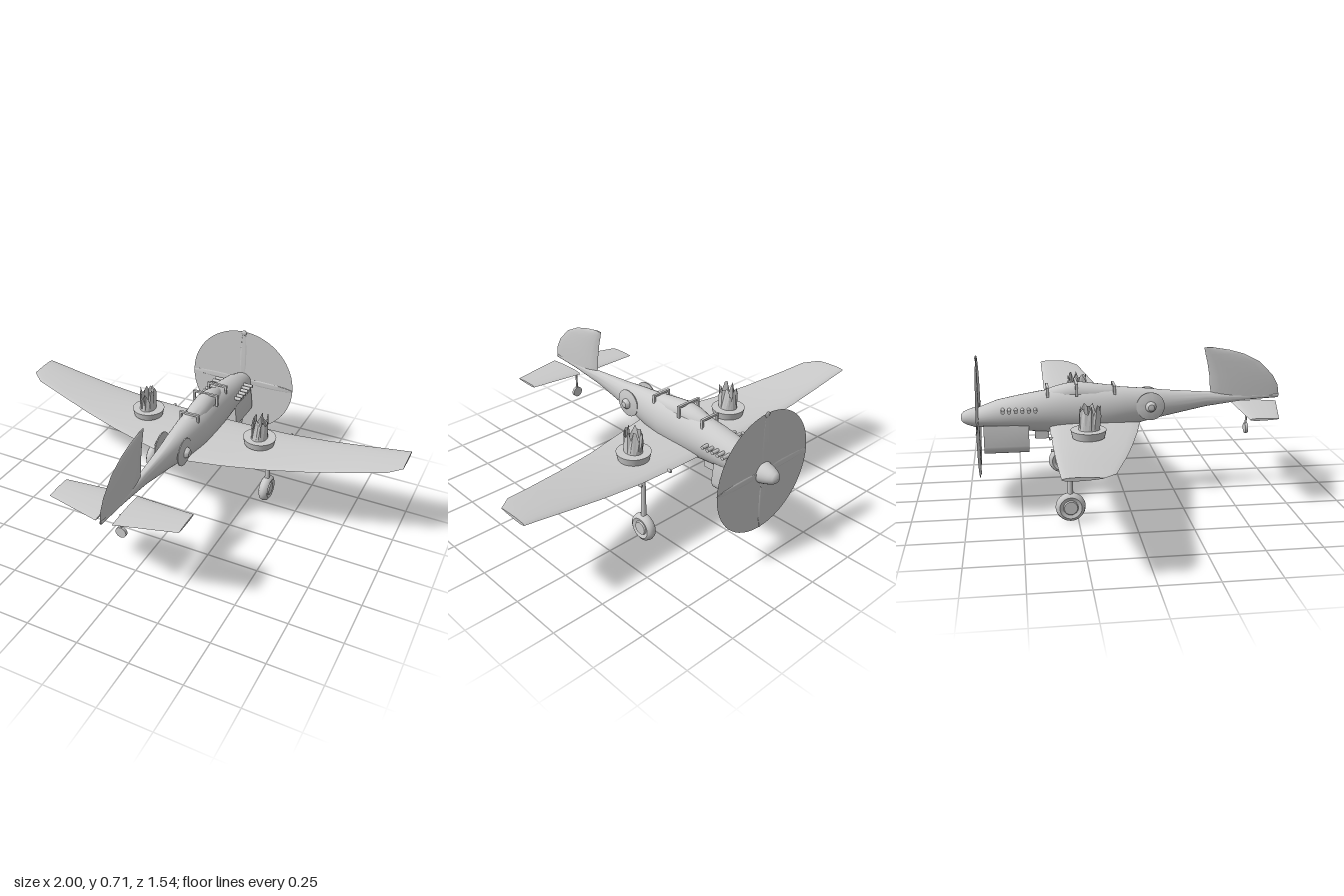
import * as THREE from 'three';
import { toCreasedNormals } from 'three/addons/utils/BufferGeometryUtils.js';

const mat = new THREE.MeshStandardMaterial({ color: 0xcccccc });
const thin = new THREE.MeshStandardMaterial({ color: 0xcccccc, side: THREE.DoubleSide });

// Skin a row of equal-length closed rings, with capped ends, facing outwards
function loft(rings, crease = 0.7) {
  const n = rings[0].length, pts = rings.flat(), idx = [];
  for (let r = 0; r < rings.length - 1; r++)
    for (let i = 0; i < n; i++) {
      const a = r * n + i, b = r * n + (i + 1) % n;
      idx.push(a, b, a + n, b, b + n, a + n);
    }
  const last = (rings.length - 1) * n;
  for (let i = 1; i < n - 1; i++) idx.push(0, i + 1, i, last, last + i, last + i + 1);
  const v = pts.map(p => new THREE.Vector3(...p));
  let volume = 0;
  for (let i = 0; i < idx.length; i += 3)
    volume += v[idx[i]].dot(v[idx[i + 1]].clone().cross(v[idx[i + 2]]));
  if (volume < 0) idx.reverse();
  const g = new THREE.BufferGeometry().setFromPoints(v);
  g.setIndex(idx);
  return toCreasedNormals(g, crease);
}

// Aerofoil ring: [chord position, thickness offset] from leading edge a to trailing edge b
function foil(a, b, t, n = 16) {
  return Array.from({ length: n }, (_, i) => {
    const u = i / n * Math.PI * 2, s = (1 - Math.cos(u)) / 2;
    return [a + (b - a) * s, t * Math.sin(u) * (1.2 - 0.7 * s)];
  });
}

// Oval ring across the fuselage
function oval(z, top, bottom, w, n = 32) {
  return Array.from({ length: n }, (_, i) => {
    const u = i / n * Math.PI * 2;
    return [Math.cos(u) * w, (top + bottom) / 2 + Math.sin(u) * (top - bottom) / 2, z];
  });
}

export function createModel() {
  const model = new THREE.Group();
  const add = (name, geo, pos = [0, 0, 0], rot = [0, 0, 0], parent = model, m = mat) => {
    const mesh = new THREE.Mesh(geo, m);
    mesh.name = name;
    mesh.position.set(...pos);
    mesh.rotation.set(...rot);
    parent.add(mesh);
    return mesh;
  };
  const Q = Math.PI / 2;

  // Fuselage: z, top, bottom, half width
  const body = [
    [-0.69, 0.457, 0.365, 0.05], [-0.6, 0.49, 0.35, 0.066], [-0.5, 0.51, 0.34, 0.075],
    [-0.4, 0.527, 0.332, 0.079], [-0.3, 0.54, 0.322, 0.082], [-0.2, 0.543, 0.317, 0.082],
    [-0.1, 0.54, 0.322, 0.08], [0, 0.534, 0.34, 0.068], [0.1, 0.525, 0.363, 0.056],
    [0.2, 0.513, 0.385, 0.043], [0.4, 0.497, 0.425, 0.022], [0.6, 0.48, 0.45, 0.013], [0.76, 0.475, 0.457, 0.005]];
  add('fuselage', loft(body.map(b => oval(...b))));

  // Spinner
  const cone = [[0.05, 0], [0.046, 0.02], [0.036, 0.05], [0.026, 0.07], [0.015, 0.079], [0, 0.081]];
  add('spinner', new THREE.LatheGeometry(cone.map(p => new THREE.Vector2(...p)), 24), [0, 0.411, -0.69], [-Q, 0, 0]);

  // Canopy and its frames
  const glass = [[-0.38, 0.528, 0.02], [-0.34, 0.545, 0.04], [-0.28, 0.56, 0.05], [-0.22, 0.567, 0.052],
    [-0.14, 0.556, 0.05], [-0.06, 0.545, 0.042], [0.01, 0.53, 0.02]];
  add('canopy', loft(glass.map(([z, t, w]) => oval(z, t, 0.46, w, 24))));
  for (const [z, top, w] of [[-0.365, 0.552, 0.052], [-0.23, 0.57, 0.066], [-0.05, 0.552, 0.05]]) {
    const frame = new THREE.Group();
    frame.name = 'canopyFrame';
    model.add(frame);
    add('frameBow', new THREE.BoxGeometry(w * 2, 0.01, 0.012), [0, top - 0.005, z], [0, 0, 0], frame);
    for (const s of [-1, 1])
      add('framePost', new THREE.BoxGeometry(0.01, 0.06, 0.012), [s * (w - 0.005), top - 0.03, z], [0, 0, 0], frame);
  }

  // Wing: x, height, trailing edge, half thickness
  const half = [[0, 0.363, 0.08, 0.021], [0.2, 0.364, 0.036, 0.02], [0.4, 0.37, -0.015, 0.018],
    [0.6, 0.389, -0.065, 0.015], [0.8, 0.417, -0.117, 0.012], [0.935, 0.438, -0.15, 0.01], [1, 0.447, -0.203, 0.008]];
  const span = [...half.slice(1).reverse().map(([x, ...r]) => [-x, ...r]), ...half];
  add('wing', loft(span.map(([x, y, b, t]) => foil(-0.36, b, t, 20).map(([z, d]) => [x, y + d, z]))));

  // Tail fin: height, leading edge, trailing edge, half thickness
  const fin = [[0.465, 0.43, 0.765, 0.014], [0.52, 0.419, 0.757, 0.014], [0.57, 0.416, 0.73, 0.013],
    [0.64, 0.404, 0.66, 0.011], [0.68, 0.394, 0.58, 0.009], [0.7, 0.39, 0.51, 0.007], [0.714, 0.386, 0.43, 0.004]];
  add('tailFin', loft(fin.map(([y, a, b, t]) => foil(a, b, t).map(([z, d]) => [d, y, z]))));

  // Tailplanes, tilted slightly
  for (const s of [-1, 1]) {
    const rings = [[0.04, 0.517, 0.738, 0.01], [0.313, 0.535, 0.67, 0.006]];
    add('tailplane', loft(rings.map(([x, a, b, t]) => foil(a, b, t).map(([z, d]) => [s * x, 0.452 + s * x * 0.04 + d, z]))));
  }

  // Propeller
  const prop = new THREE.Group();
  prop.name = 'propeller';
  prop.position.set(0, 0.411, -0.69);
  model.add(prop);
  add('propellerDisc', new THREE.CircleGeometry(0.287, 64), [0, 0, 0], [0, 0, 0], prop, thin);
  const blade = loft([[0.03, 0.01], [0.1, 0.017], [0.18, 0.016], [0.25, 0.011], [0.286, 0.004]]
    .map(([y, w]) => foil(-w, w, 0.003, 12).map(([x, d]) => [x, y, d])));
  for (let i = 0; i < 4; i++) add('blade', blade, [0, 0, 0], [0, 0, i * Q], prop);
  const tip = add('bladeTip', new THREE.SphereGeometry(0.014, 16, 12), [0, 0.28, 0], [0, 0, 0], prop);
  tip.scale.z = 0.4;

  // Radiator under the nose, and a small intake behind it
  const rad = new THREE.Shape();
  rad.moveTo(-0.062, 0.38).lineTo(-0.073, 0.29);
  rad.quadraticCurveTo(-0.072, 0.24, -0.03, 0.24).lineTo(0.03, 0.24);
  rad.quadraticCurveTo(0.072, 0.24, 0.073, 0.29).lineTo(0.062, 0.38);
  const radGeo = new THREE.ExtrudeGeometry(rad, { depth: 0.21, bevelEnabled: false, curveSegments: 10 });
  add('radiator', toCreasedNormals(radGeo, 0.6), [0, 0, -0.667]);
  add('intake', new THREE.BoxGeometry(0.05, 0.04, 0.065), [0, 0.32, -0.395]);

  // Ragged open crown standing on each wing disc
  let seed = 7;
  const rand = () => (seed = (seed * 16807) % 2147483647) / 2147483647;
  const crown = new THREE.CylinderGeometry(0.036, 0.04, 0.12, 22, 1, true);
  const cp = crown.attributes.position;
  for (let i = 0; i < 22; i++) {
    const k = 0.7 + 0.4 * rand();
    cp.setXYZ(i, cp.getX(i) * k, 0.06 - (i % 3 ? 0.07 : 0.02) * rand(), cp.getZ(i) * k * 1.45);
    cp.setZ(i + 23, cp.getZ(i + 23) * 1.2);
  }
  cp.setXYZ(22, cp.getX(0), cp.getY(0), cp.getZ(0));
  cp.setZ(45, cp.getZ(45) * 1.2);
  const crownFlat = crown.toNonIndexed();
  crownFlat.computeVertexNormals();

  const dish = [[0, 0.03], [0.015, 0.027], [0.024, 0.016], [0.026, 0.008], [0.045, 0.006], [0.068, 0], [0.068, -0.005], [0, -0.005]];
  const dishGeo = toCreasedNormals(new THREE.LatheGeometry(dish.map(p => new THREE.Vector2(...p)).reverse(), 32), 0.5);
  const tyre = [[0, -0.024], [0.03, -0.024], [0.034, -0.018], [0.05, -0.024], [0.063, -0.016], [0.068, 0],
    [0.063, 0.016], [0.05, 0.024], [0.034, 0.018], [0.03, 0.024], [0, 0.024]];
  const tyreGeo = toCreasedNormals(new THREE.LatheGeometry(tyre.map(p => new THREE.Vector2(...p)), 32), 0.8);

  for (const s of [-1, 1]) {
    // Wing disc and crown
    add('wingDisc', new THREE.CylinderGeometry(0.08, 0.072, 0.035, 32), [s * 0.305, 0.404, -0.198]);
    add('wingCrown', crownFlat, [s * 0.305, 0.482, -0.195], [0, s > 0 ? 0 : Math.PI, 0], model, thin);
    // Fuselage side disc
    add('sideDisc', dishGeo, [s * 0.062, 0.449, 0.12], [0, 0, -s * Q]);
    // Exhaust stubs
    for (let i = 0; i < 6; i++)
      add('exhaustStub', new THREE.CylinderGeometry(0.009, 0.009, 0.06, 12), [s * 0.076, 0.456, -0.425 - i * 0.03], [0, 0, Q]);
    // Wing guns
    for (const x of [0.24, 0.41])
      add('wingGun', new THREE.CylinderGeometry(0.007, 0.007, 0.04, 12), [s * x, 0.365, -0.35], [Q, 0, 0]);
    // Main landing gear
    add('gearStrut', new THREE.CylinderGeometry(0.009, 0.013, 0.23, 16), [s * 0.326, 0.235, -0.285]);
    add('mainWheel', tyreGeo, [s * 0.326, 0.068, -0.285], [0, 0, Q]);
  }

  // Tail wheel
  add('tailStrut', new THREE.CylinderGeometry(0.005, 0.005, 0.1, 12), [0, 0.352, 0.605]);
  add('tailWheel', new THREE.CylinderGeometry(0.026, 0.026, 0.014, 24), [0, 0.307, 0.605], [Q, 0, 0]);

  return model;
}
